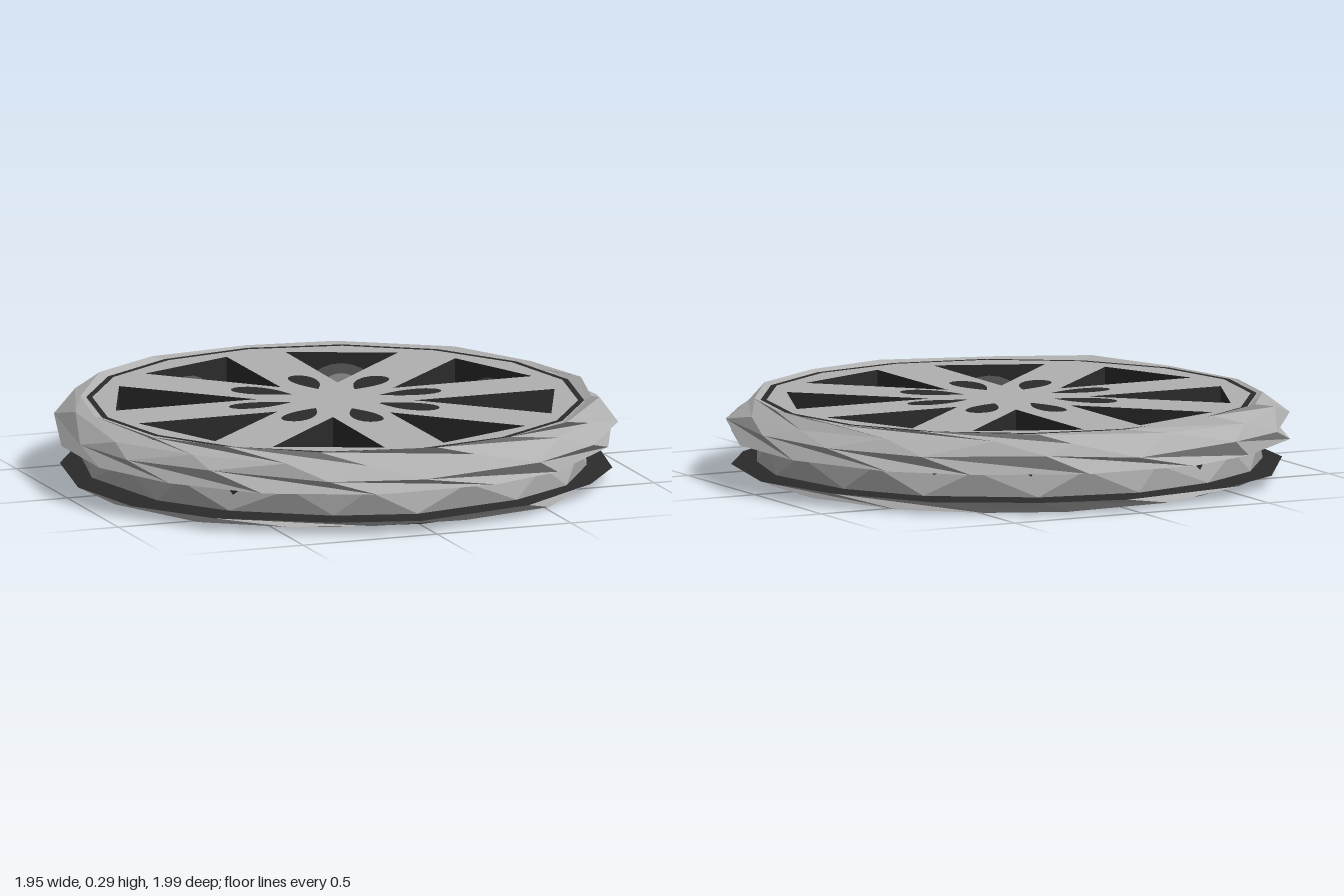
import * as THREE from 'three';

const SIDES = 16;
const TOP = 0.278, BOTTOM = 0.02;
const mat = (name, color) => {
  const m = new THREE.MeshStandardMaterial({ color, flatShading: true, side: THREE.DoubleSide });
  m.name = name;
  return m;
};

// repeatable value in -1..1
const noise = (a, b) => {
  const s = Math.sin(a * 127.1 + b * 311.7 + 4.2) * 43758.5453;
  return (s - Math.floor(s)) * 2 - 1;
};

const polar = (r, a) => new THREE.Vector2(r * Math.cos(a), r * Math.sin(a));

export function createModel() {
  const stone = mat('stone grey', 0xb0b0b0);
  const dark = mat('charcoal', 0x2b2b2b);
  const mid = mat('dim grey', 0x5e5e5e);
  const pale = mat('pale spot grey', 0x9a9a9a);

  const model = new THREE.Group();
  model.name = 'spokedWheel';
  const add = (name, geometry, material, parent = model) => {
    const mesh = new THREE.Mesh(geometry, material);
    mesh.name = name;
    parent.add(mesh);
    return mesh;
  };

  // Spoked plate: a disc with eight wedge openings
  const disc = new THREE.Shape(
    Array.from({ length: SIDES }, (_, i) => polar(0.87, (i / SIDES) * Math.PI * 2)));
  const halfWidth = 0.11, holeRadius = 0.785;
  const inset = Math.asin(halfWidth / holeRadius);
  for (let i = 0; i < 8; i++) {
    const a = (i * Math.PI) / 4;
    disc.holes.push(new THREE.Path([
      polar(halfWidth / Math.sin(Math.PI / 8) - 0.01, a + Math.PI / 8),
      polar(holeRadius, a + Math.PI / 4 - inset),
      polar(holeRadius, a + inset),
    ]));
  }
  const plate = new THREE.ExtrudeGeometry(disc, { depth: TOP - BOTTOM, bevelEnabled: false });
  plate.rotateX(-Math.PI / 2).translate(0, BOTTOM, 0);
  add('spokedPlate', plate, [stone, dark]);

  // Faceted rim: radius, height, radial jitter, height jitter, half-step twist, material above
  const rows = [
    [0.87, BOTTOM, 0, 0, 0, stone],
    [0.90, 0.015, 0.02, 0.012, 1, stone],
    [0.97, 0.05, 0.015, 0.005, 0, dark],
    [0.89, 0.06, 0.01, 0, 0, stone],
    [0.89, 0.15, 0.01, 0, 1, dark],
    [0.982, 0.152, 0.015, 0, 1, stone],
    [0.982, 0.212, 0.015, 0.012, 0, stone],
    [0.93, 0.255, 0.015, 0.012, 1, stone],
    [0.90, 0.288, 0.012, 0.008, 0, stone],
    [0.87, TOP, 0, 0, 0, stone],
  ];
  const rim = new THREE.LatheGeometry(rows.map(([r, y]) => new THREE.Vector2(r, y)), SIDES);
  const pos = rim.attributes.position;
  for (let i = 0; i <= SIDES; i++) {
    rows.forEach(([r, y, dr, dy, twist], j) => {
      const k = i % SIDES;
      const a = ((k + twist * 0.5 + (dr ? 0.15 * noise(k + 40, j) : 0)) / SIDES) * Math.PI * 2;
      const radius = r + dr * noise(k, j);
      pos.setXYZ(i * rows.length + j,
        radius * Math.sin(a), y + dy * noise(k + 80, j), radius * Math.cos(a));
    });
  }
  const bands = rows.length - 1;
  for (let q = 0; q < SIDES * bands; q++) {
    rim.addGroup(q * 6, 6, rows[q % bands][5] === dark ? 1 : 0);
  }
  rim.computeVertexNormals();
  add('facetedRim', rim, [stone, dark]);

  // Painted groove and teardrops on both faces
  const drop = new THREE.Shape();
  drop.moveTo(0.165, 0);
  drop.bezierCurveTo(0.22, 0.035, 0.26, 0.058, 0.32, 0.058);
  drop.bezierCurveTo(0.42, 0.058, 0.42, -0.058, 0.32, -0.058);
  drop.bezierCurveTo(0.26, -0.058, 0.22, -0.035, 0.165, 0);
  for (const [name, tilt, y] of [['top', -1, TOP + 0.004], ['bottom', 1, BOTTOM - 0.004]]) {
    const face = new THREE.Group();
    face.name = name + 'Markings';
    face.position.y = y;
    face.rotation.x = (tilt * Math.PI) / 2;
    model.add(face);
    add('grooveRing', new THREE.RingGeometry(0.848, 0.869, SIDES), dark, face);
    for (let i = 0; i < 8; i++) {
      const seed = add('teardrop', new THREE.ShapeGeometry(drop, 8), dark, face);
      seed.rotation.z = (i * Math.PI) / 4;
      seed.scale.y = 0.9 + 0.12 * noise(i, 7);
    }
  }

  // Oval spots on the outer wall of each opening
  const wall = holeRadius * Math.cos(Math.PI / 8 - inset);
  for (let i = 0; i < 8; i++) {
    const pivot = new THREE.Group();
    pivot.name = 'wallSpot';
    pivot.rotation.y = ((i + 0.5) * Math.PI) / 4;
    model.add(pivot);
    [[0.12, 0.09, mid], [0.07, 0.055, pale]].forEach(([w, h, m], n) => {
      const oval = add(n ? 'innerOval' : 'outerOval', new THREE.CircleGeometry(1, 20), m, pivot);
      oval.scale.set(w, h, 1);
      oval.position.set(0, 0.15, -wall + 0.004 * (n + 1));
    });
  }

  return model;
}
